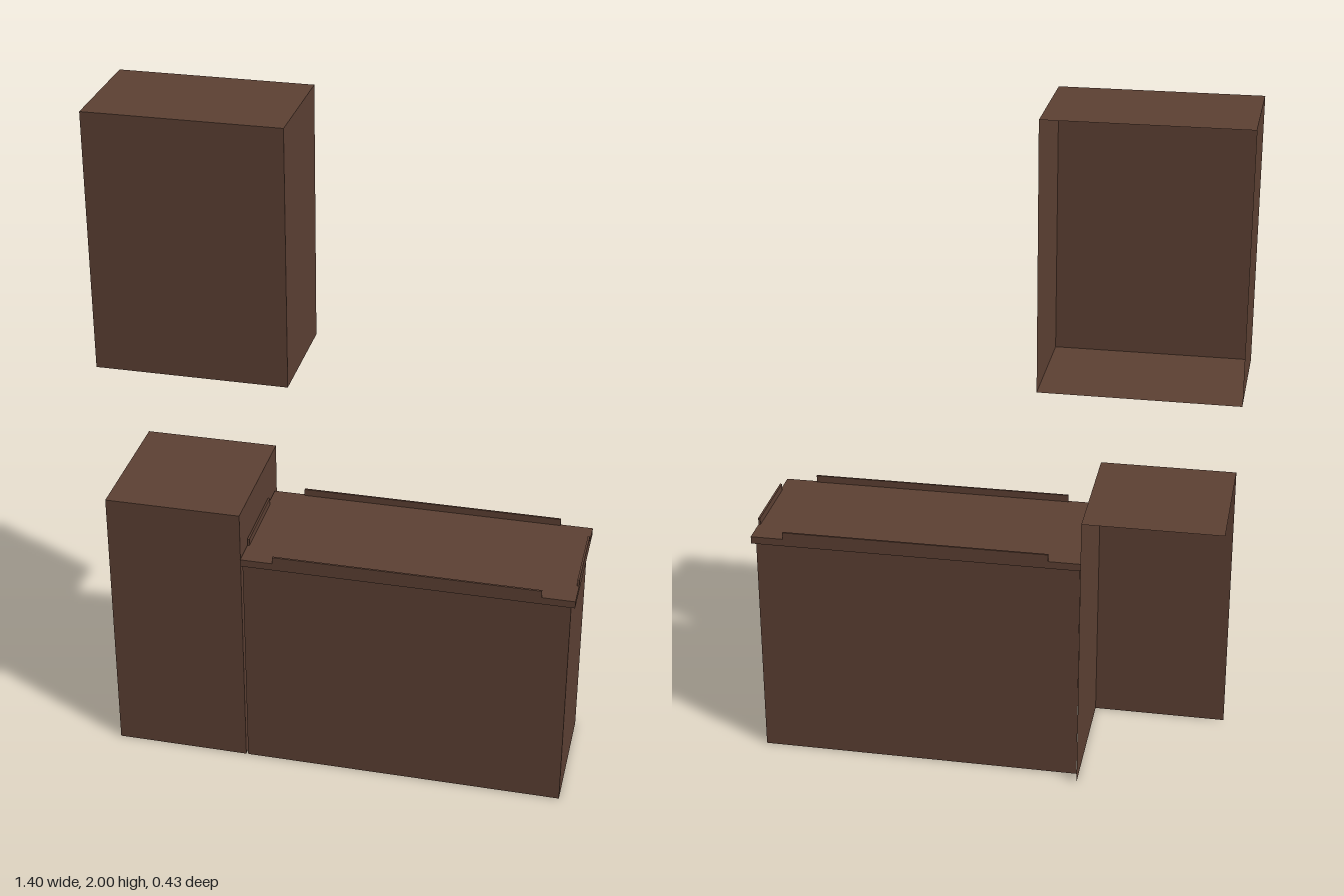
import * as THREE from 'three';

export function createModel() {
  const model = new THREE.Group();
  model.name = 'kitchenCabinets';
  const wood = new THREE.MeshStandardMaterial({ color: 0x5c4033, side: THREE.DoubleSide });
  wood.name = 'darkBrownWood';

  const group = (name) => {
    const g = new THREE.Group();
    g.name = name;
    model.add(g);
    return g;
  };

  // Thin open panels of a box; b = [x0, x1, y0, y1, z0, z1]
  const panels = (parent, b, names) => {
    const [x0, x1, y0, y1, z0, z1] = b;
    const w = x1 - x0, h = y1 - y0, d = z1 - z0;
    const cx = (x0 + x1) / 2, cy = (y0 + y1) / 2, cz = (z0 + z1) / 2;
    const q = Math.PI / 2;
    const kinds = {
      frontPanel: [w, h, 0, 0, cx, cy, z1],
      backPanel: [w, h, 0, 2 * q, cx, cy, z0],
      leftPanel: [d, h, 0, q, x1, cy, cz],
      rightPanel: [d, h, 0, -q, x0, cy, cz],
      topPanel: [w, d, -q, 0, cx, y1, cz],
      bottomPanel: [w, d, q, 0, cx, y0, cz],
    };
    for (const n of names) {
      const [pw, ph, rx, ry, x, y, z] = kinds[n];
      const m = new THREE.Mesh(new THREE.PlaneGeometry(pw, ph), wood);
      m.rotation.set(rx, ry, 0);
      m.position.set(x, y, z);
      m.name = n;
      parent.add(m);
    }
  };

  const box = (parent, name, x0, x1, y0, y1, z0, z1) => {
    const m = new THREE.Mesh(new THREE.BoxGeometry(x1 - x0, y1 - y0, z1 - z0), wood);
    m.position.set((x0 + x1) / 2, (y0 + y1) / 2, (z0 + z1) / 2);
    m.name = name;
    parent.add(m);
  };

  // Wall cabinet, open at the back
  panels(group('wallCabinet'), [-0.7, -0.143, 1.24, 2, -0.212, 0.126],
    ['frontPanel', 'leftPanel', 'rightPanel', 'topPanel', 'bottomPanel']);

  // Tall end cabinet, open at the back, outer side and bottom
  panels(group('tallCabinet'), [-0.672, -0.272, 0, 0.85, -0.213, 0.203],
    ['frontPanel', 'leftPanel', 'topPanel']);

  // Base cabinet, open underneath
  panels(group('baseCabinet'), [-0.266, 0.686, 0, 0.688, -0.172, 0.203],
    ['frontPanel', 'backPanel', 'leftPanel']);

  // Countertop with a raised lip along each edge, left open at the corners
  const counter = group('countertop');
  box(counter, 'slab', -0.27, 0.698, 0.687, 0.709, -0.183, 0.213);
  const t = 0.006;
  box(counter, 'frontLip', -0.175, 0.603, 0.709, 0.73, 0.213 - t, 0.213);
  box(counter, 'backLip', -0.175, 0.603, 0.709, 0.73, -0.183, -0.183 + t);
  box(counter, 'leftLip', 0.698 - t, 0.698, 0.709, 0.73, -0.103, 0.133);
  box(counter, 'rightLip', -0.27, -0.27 + t, 0.709, 0.73, -0.103, 0.133);

  return model;
}
